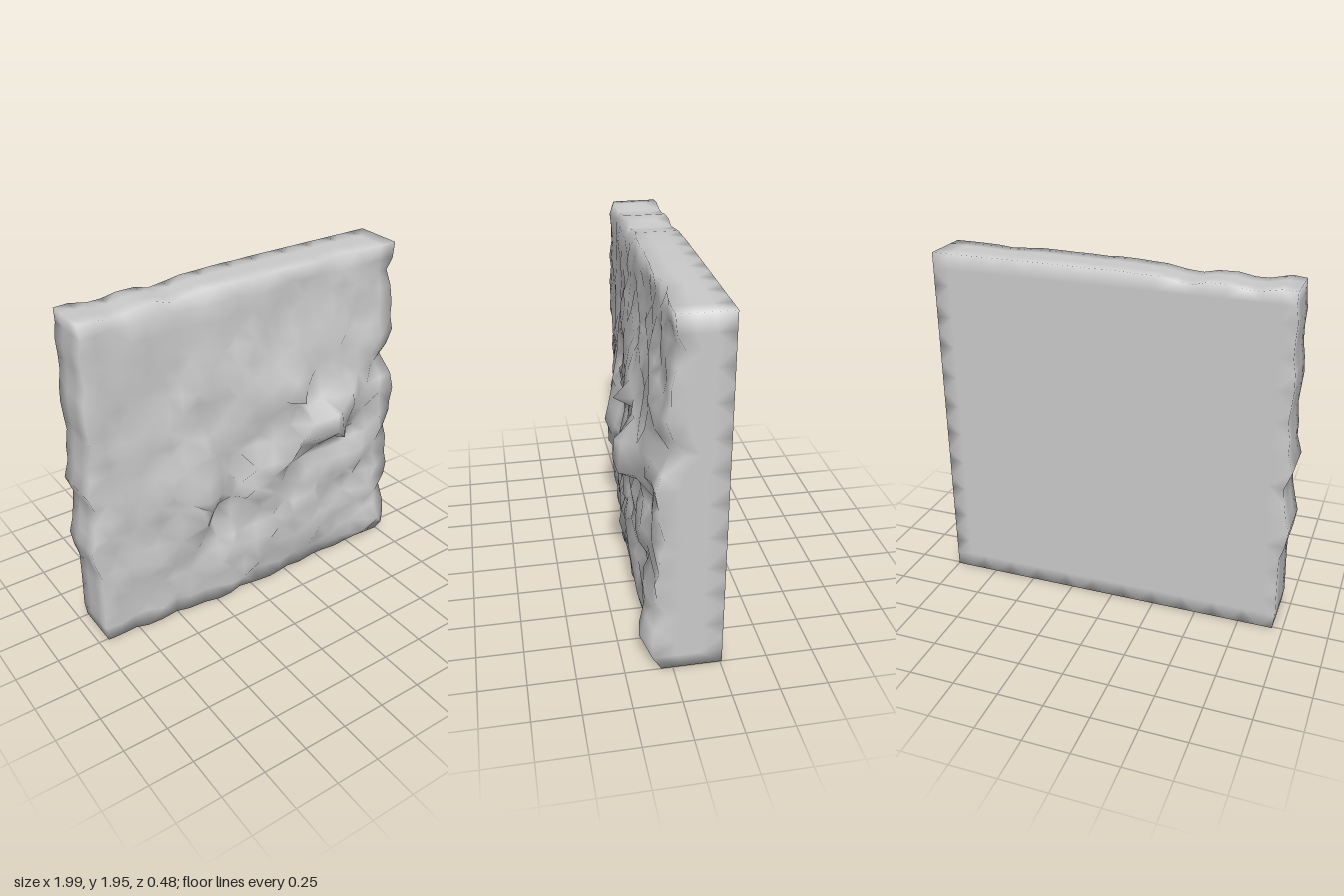
import * as THREE from 'three';
import { mergeVertices } from 'three/addons/utils/BufferGeometryUtils.js';

const N = 22, RINGS = 3, LEFT = -0.95, RIGHT = 1, TOP = 1.945, BACK = -0.26;

// repeatable value in -1..1 for a grid point
function jitter(i, j, seed) {
  const s = Math.sin(i * 127.1 + j * 311.7 + seed * 74.7) * 43758.5453;
  return (s - Math.floor(s)) * 2 - 1;
}

function bell(x, y, cx, cy, rx, ry) {
  return Math.exp(-(((x - cx) / rx) ** 2) - ((y - cy) / ry) ** 2);
}

// rock bulges and hollows: x, y, radius x, radius y, height
const BUMPS = [
  [0.48, 1.01, 0.11, 0.1, 0.17], [0.2, 0.88, 0.15, 0.09, 0.06], [0.7, 1.12, 0.12, 0.1, 0.05],
  [0.5, 0.83, 0.2, 0.07, -0.06], [-0.36, 0.77, 0.09, 0.14, 0.12], [-0.42, 0.56, 0.08, 0.12, 0.06],
  [-0.22, 0.54, 0.12, 0.11, -0.06], [-0.36, 1.0, 0.09, 0.08, 0.06], [-0.58, 0.85, 0.09, 0.17, 0.04],
  [0.28, 1.26, 0.1, 0.07, 0.1], [0.02, 1.32, 0.12, 0.12, 0.04], [-0.1, 1.12, 0.13, 0.08, 0.03],
  [0.12, 0.66, 0.11, 0.1, 0.06], [0.42, 0.52, 0.12, 0.1, 0.04], [0.88, 0.2, 0.14, 0.13, 0.07],
  [0.73, 0.7, 0.12, 0.1, 0.06], [0.42, 0.3, 0.13, 0.09, 0.06], [0.08, 0.33, 0.12, 0.09, 0.04],
  [-0.6, 0.4, 0.15, 0.1, 0.02], [0.54, 1.55, 0.13, 0.07, 0.03], [-0.2, 1.52, 0.13, 0.1, 0.02],
  [0.75, 1.37, 0.12, 0.07, 0.04], [0.8, 0.45, 0.1, 0.09, 0.03], [1, 1.25, 0.1, 0.07, -0.13],
  [1, 0.35, 0.06, 0.08, -0.05], [1, 0.82, 0.06, 0.06, -0.04], [0.6, 0, 0.6, 0.06, -0.04],
  [-0.4, 1.94, 0.5, 0.07, -0.04], [0.65, 1.94, 0.12, 0.08, -0.03], [1, 1.77, 0.08, 0.08, -0.04],
];

function rockHeight(x, y) {
  const across = THREE.MathUtils.smoothstep(x, -1, 0.3);
  const up = 1 - THREE.MathUtils.smoothstep(y, 1.0, 1.9);
  return BUMPS.reduce(
    (z, [cx, cy, rx, ry, h]) => z + h * bell(x, y, cx, cy, rx, ry),
    0.01 + 0.078 * across * up,
  );
}

// grid point; indices outside 0..N wrap over the rim to the back
function slabPoint(i, j) {
  const ring = Math.max(-i, i - N, -j, j - N, 0);
  const a = THREE.MathUtils.clamp(i, 0, N), b = THREE.MathUtils.clamp(j, 0, N);
  let x = THREE.MathUtils.lerp(LEFT, RIGHT, a / N);
  let y = TOP * b / N;
  const rough = bell(x, y, 0.2, 0.75, 0.8, 0.75);
  const z = rockHeight(x, y) + jitter(a, b, 1) * (0.01 + 0.026 * rough);

  // shift inner points sideways for ragged ledges, and make left and top edges uneven
  if (a > 0 && a < N) {
    x += jitter(a, b, 2) * (0.012 + 0.026 * rough) + 0.06 * bell(x, y, -0.42, 0.6, 0.08, 0.18);
  }
  if (b > 0 && b < N) {
    y += jitter(a, b, 3) * (0.012 + 0.026 * rough) - 0.03 * bell(x, y, 0.48, 0.96, 0.14, 0.07);
  }
  if (a === 0) {
    x += jitter(0, b, 4) * 0.01 - 0.045 * bell(0, y, 0, 0.6, 1, 0.09)
      - 0.035 * bell(0, y, 0, 0.97, 1, 0.07);
  }
  if (b === N) {
    y -= 0.03 * bell(x, 0, -0.7, 0, 0.08, 1) + 0.025 * bell(x, 0, -0.4, 0, 0.12, 1)
      + 0.008 * (1 + jitter(a, N, 5)) * Math.max(0, 0.3 - x);
  }
  return [x, y, THREE.MathUtils.lerp(z, BACK, ring / RINGS)];
}

// grid of quads from lo to hi in both directions, optionally facing backwards
function addGrid(pos, index, lo, hi, point, flip) {
  const start = pos.length / 3, w = hi - lo + 1;
  for (let j = lo; j <= hi; j++) {
    for (let i = lo; i <= hi; i++) pos.push(...point(i, j));
  }
  for (let j = 0; j < w - 1; j++) {
    for (let i = 0; i < w - 1; i++) {
      const a = start + j * w + i, b = a + 1, c = a + w, d = c + 1;
      const quad = (i + j) % 2 ? [a, b, d, a, d, c] : [a, b, c, b, d, c];
      index.push(...(flip ? quad.reverse() : quad));
    }
  }
}

// one welded skin, so the shading runs softly round the rim
function slabGeometry() {
  const pos = [], index = [];
  addGrid(pos, index, -RINGS, N + RINGS, slabPoint, false);
  // flat back: rim points match the sides, inner points lie on an even grid
  addGrid(pos, index, 0, N, (i, j) => {
    const rim = i === 0 || i === N || j === 0 || j === N;
    const [x, y] = rim ? slabPoint(i, j)
      : [THREE.MathUtils.lerp(LEFT, RIGHT, i / N), TOP * j / N];
    return [x, y, BACK];
  }, true);
  let geo = new THREE.BufferGeometry();
  geo.setAttribute('position', new THREE.Float32BufferAttribute(pos, 3));
  geo.setIndex(index);
  geo = mergeVertices(geo, 1e-4);
  geo.computeVertexNormals();
  return geo;
}

export function createModel() {
  const group = new THREE.Group();
  group.name = 'rockWallPanel';
  const slab = new THREE.Mesh(slabGeometry(), new THREE.MeshStandardMaterial({
    color: 0xcccccc, side: THREE.DoubleSide,
  }));
  slab.name = 'rockSlab';
  group.add(slab);
  return group;
}
